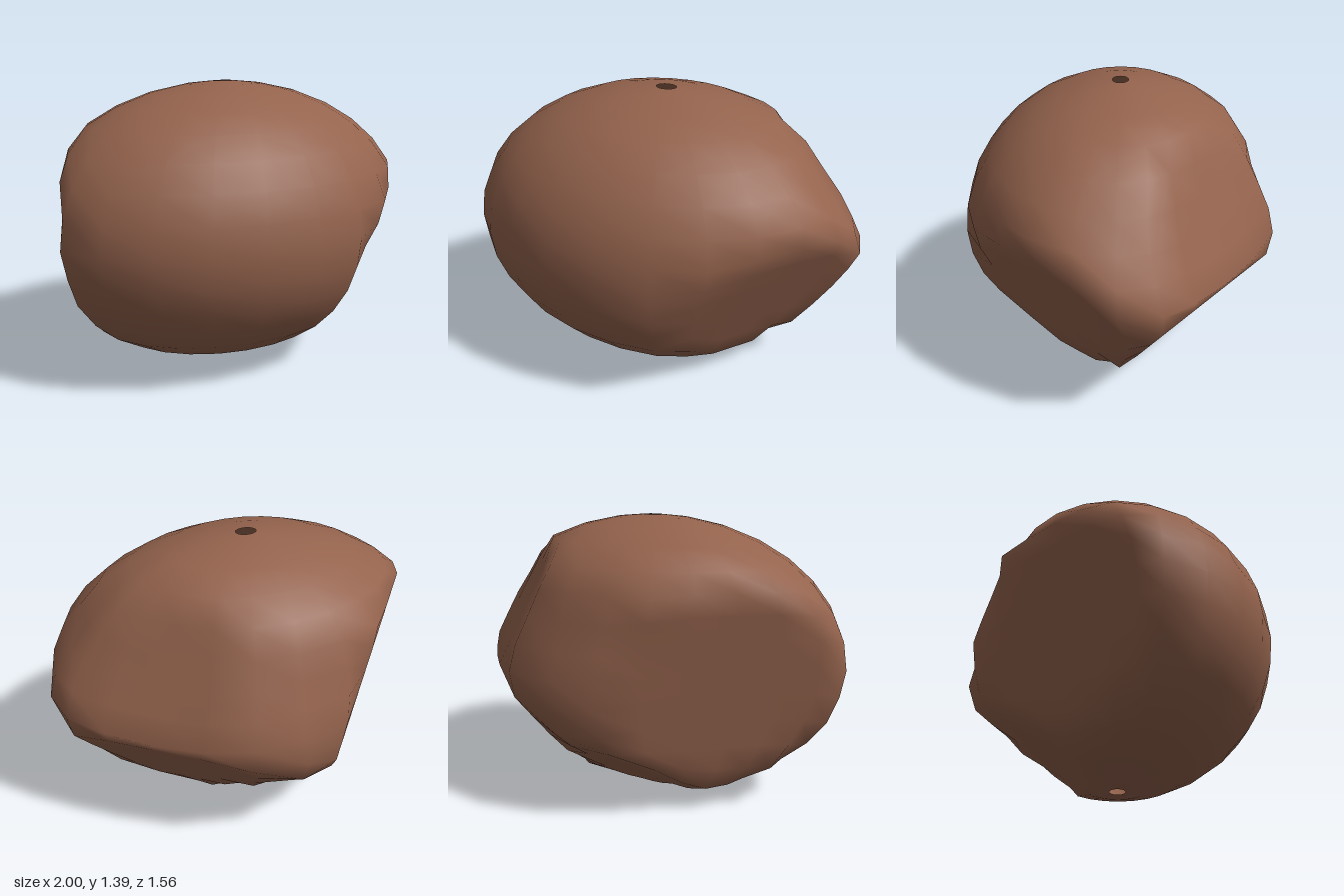
import * as THREE from 'three';
import { mergeVertices } from 'three/addons/utils/BufferGeometryUtils.js';

// Flat faces chipped off the boulder: outward direction and distance from its core
const chips = [
  { dir: [0.585, 0.44, -0.69], dist: 0.70 },   // back upper, +x side
  { dir: [0.78, 0.62, -0.10], dist: 0.835 },   // upper, +x end
  { dir: [0.50, -0.61, -0.62], dist: 0.665 },  // back lower, +x side
  { dir: [0.69, -0.43, 0.58], dist: 0.70 },    // front lower, +x side
  { dir: [-0.06, -0.83, -0.555], dist: 0.64 }, // back lower, middle
  { dir: [-0.76, -0.17, -0.63], dist: 0.62 },  // back, -x side
  { dir: [-0.10, 0.28, -0.955], dist: 0.71 },  // back upper, middle
].map(({ dir, dist }) => ({ n: new THREE.Vector3(...dir).normalize(), dist }));

// Press a point flat onto every chipped face that it sticks out of
function chip(p) {
  for (const { n, dist } of chips) {
    p.addScaledVector(n, Math.min(0, dist - p.dot(n)));
  }
  return p;
}

export function createModel() {
  const group = new THREE.Group();
  group.name = 'boulder';

  const brownStone = new THREE.MeshStandardMaterial({ color: 0x94634d, side: THREE.DoubleSide });
  brownStone.name = 'brownStone';

  // Ellipsoid turned from a half circle, with a tiny opening at each pole
  const profile = [];
  for (let i = 0; i <= 16; i++) {
    const a = (i / 16) * Math.PI;
    profile.push(new THREE.Vector2(Math.max(0.05, Math.sin(a)), -Math.cos(a)));
  }
  let geo = new THREE.LatheGeometry(profile, 24);
  geo.scale(1.02, 0.697, 0.787);

  // Drop the seam so that shading stays smooth all round
  geo.deleteAttribute('uv');
  geo.deleteAttribute('normal');
  geo = mergeVertices(geo, 1e-4);

  const pos = geo.attributes.position;
  const p = new THREE.Vector3();
  for (let i = 0; i < pos.count; i++) {
    chip(p.fromBufferAttribute(pos, i));
    pos.setXYZ(i, p.x, p.y, p.z);
  }
  geo.translate(-0.015, 0.697, -0.016);
  geo.computeVertexNormals();

  const rock = new THREE.Mesh(geo, brownStone);
  rock.name = 'rock';
  group.add(rock);
  return group;
}
